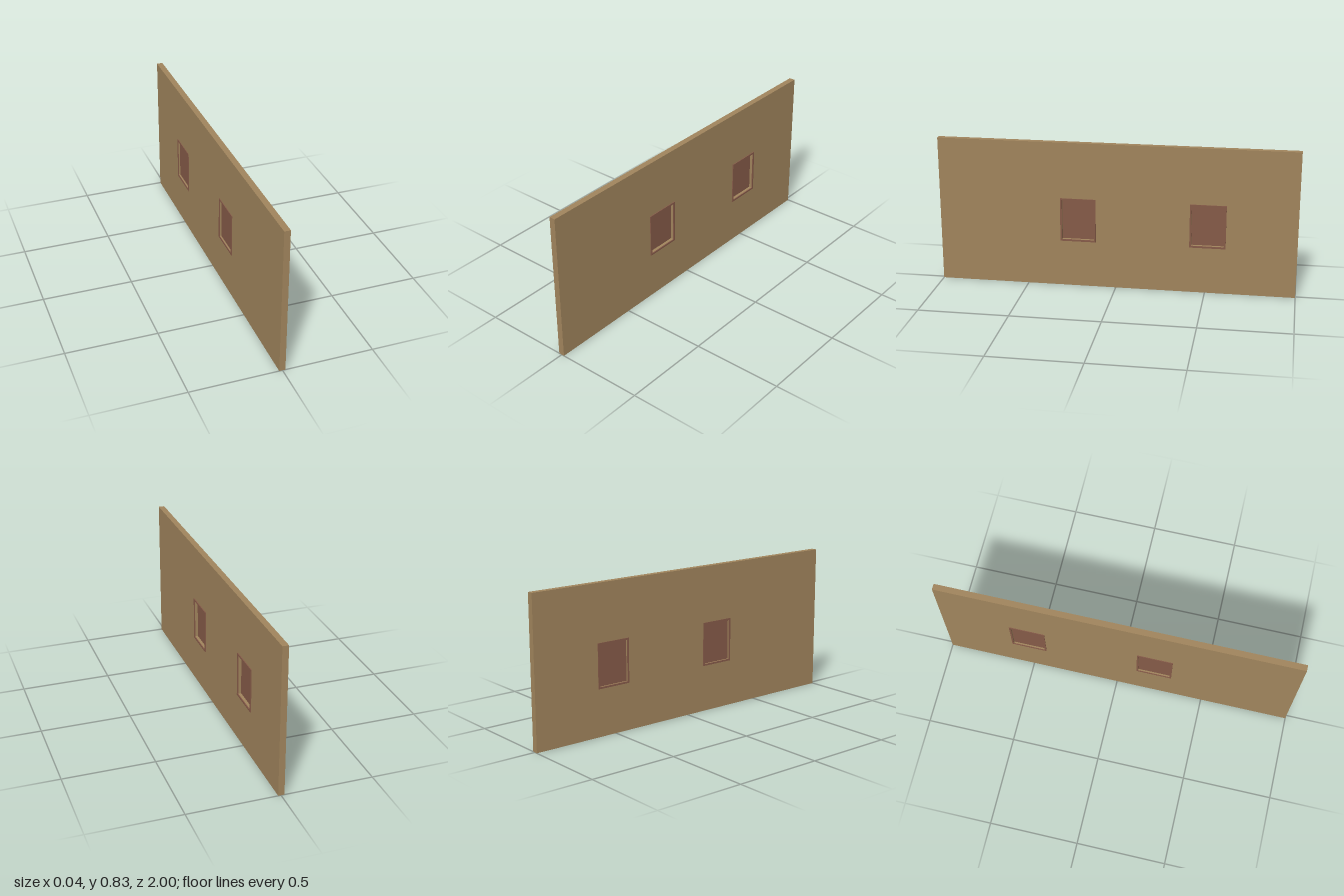
import * as THREE from 'three';

const wallMat = new THREE.MeshStandardMaterial({ name: 'tan wall', color: 0xa0845c });
const woodMat = new THREE.MeshStandardMaterial({ name: 'reddish brown wood', color: 0x855a48 });

const HEIGHT = 0.83;
const WINDOW = { y0: 0.264, y1: 0.512, width: 0.2, border: 0.01 };
const WINDOW_Z = [0.212, -0.51];

// Rectangle in the (-z, y) plane, as shape or hole
function rect(Type, z0, z1, y0, y1) {
  return new Type([
    new THREE.Vector2(-z1, y0), new THREE.Vector2(-z0, y0),
    new THREE.Vector2(-z0, y1), new THREE.Vector2(-z1, y1),
  ]);
}

// Slab with openings, extruded along x from x0 to x1
function slab(name, shape, x0, x1, material) {
  const geometry = new THREE.ExtrudeGeometry(shape, { depth: x1 - x0, bevelEnabled: false });
  geometry.rotateY(Math.PI / 2).translate(x0, 0, 0);
  const mesh = new THREE.Mesh(geometry, material);
  mesh.name = name;
  return mesh;
}

export function createModel() {
  const model = new THREE.Group();
  model.name = 'wallWithWindows';
  const { y0, y1, width, border } = WINDOW;
  const half = width / 2;
  const inner = half - border;

  // Wall panel with two window openings
  const wall = rect(THREE.Shape, -1, 1, 0, HEIGHT);
  for (const z of WINDOW_Z) {
    wall.holes.push(rect(THREE.Path, z - inner, z + inner, y0 + border, y1 - border));
  }
  model.add(slab('wall', wall, -0.018, 0.0155, wallMat));

  for (const z of WINDOW_Z) {
    const unit = new THREE.Group();
    unit.name = 'window';

    // Raised trim on both faces of the wall
    const frame = rect(THREE.Shape, z - half, z + half, y0, y1);
    frame.holes.push(rect(THREE.Path, z - inner, z + inner, y0 + border, y1 - border));
    unit.add(slab('frameRight', frame, 0.0155, 0.0205, woodMat));
    unit.add(slab('frameLeft', frame, -0.0215, -0.018, woodMat));

    // Recessed shutter panel
    const panel = rect(THREE.Shape, z - inner, z + inner, y0 + border, y1 - border);
    unit.add(slab('shutterPanel', panel, -0.01, 0.0, woodMat));
    model.add(unit);
  }
  return model;
}
